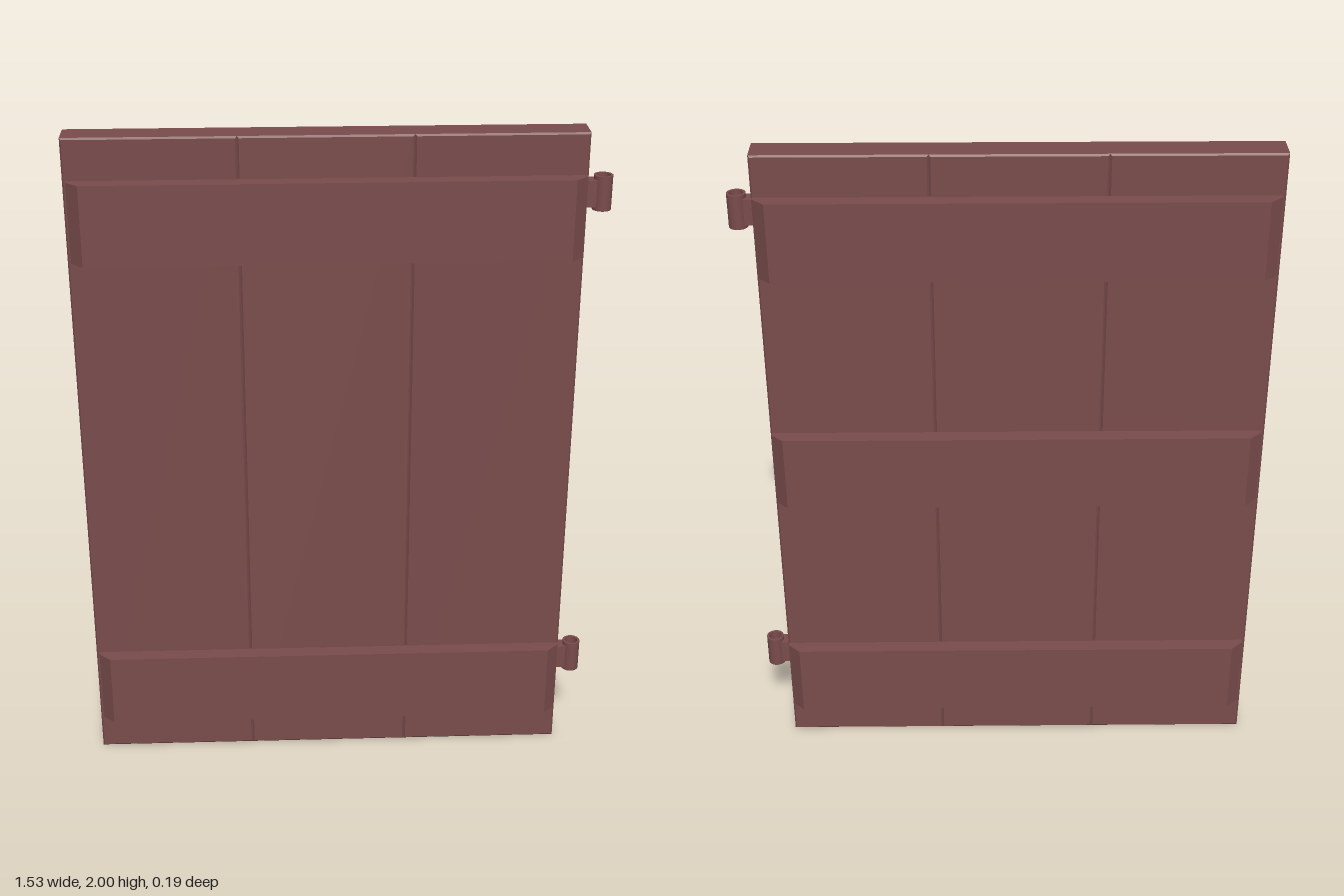
import * as THREE from 'three';

const wood = new THREE.MeshStandardMaterial({ color: 0x7a4c4c, flatShading: true });
const metal = new THREE.MeshStandardMaterial({ color: 0x7a4c4c });

function polygon(points) {
  return new THREE.Shape(points.map(([x, y]) => new THREE.Vector2(x, y)));
}

function add(parent, name, geometry, material = wood) {
  const mesh = new THREE.Mesh(geometry, material);
  mesh.name = name;
  parent.add(mesh);
  return mesh;
}

// Upright board with a fine chamfer around both faces
function plank(x0, x1) {
  const b = 0.005, depth = 0.096;
  const shape = polygon([[x0 + b, b], [x1 - b, b], [x1 - b, 2 - b], [x0 + b, 2 - b]]);
  return new THREE.ExtrudeGeometry(shape, {
    depth: depth - 2 * b, bevelEnabled: true, bevelSegments: 1, bevelSize: b, bevelThickness: b,
  }).translate(0, 0, -depth / 2 + b);
}

// Horizontal crosspiece with slanted ends, outline in plan (x, depth), lifted upwards
function batten(side) {
  const x0 = -0.755, x1 = 0.685, c = 0.036;
  const outline = [[x0, 0.046], [x1, 0.046], [x1, 0.06], [x1 - c, 0.094], [x0 + c, 0.094], [x0, 0.06]];
  const shape = polygon(outline.map(([x, z]) => [x, -side * z]));
  return new THREE.ExtrudeGeometry(shape, { depth: 0.235, bevelEnabled: false }).rotateX(-Math.PI / 2);
}

// Hollow hinge barrel
function barrel() {
  const ro = 0.027, ri = 0.02, h = 0.05;
  // Separate profile segments keep the rims sharp
  const corners = [[ri, -h], [ro, -h], [ro, h], [ri, h], [ri, -h]].map(([x, y]) => new THREE.Vector2(x, y));
  const group = new THREE.Group();
  group.name = 'hingeBarrel';
  ['barrelBottom', 'barrelOuter', 'barrelTop', 'barrelInner'].forEach((name, i) =>
    add(group, name, new THREE.LatheGeometry([corners[i], corners[i + 1]], 20), metal));
  return group;
}

export function createModel() {
  const model = new THREE.Group();
  model.name = 'shutter';

  // Three boards side by side
  const joints = [-0.765, -0.283, 0.204, 0.688];
  for (let i = 0; i < 3; i++) add(model, `plank${i + 1}`, plank(joints[i], joints[i + 1]));

  // Two crosspieces on the front, three on the back
  [0.12, 1.645].forEach((y) => { add(model, 'frontBatten', batten(1)).position.y = y; });
  [0.12, 0.9, 1.645].forEach((y) => { add(model, 'backBatten', batten(-1)).position.y = y; });

  // Hinges on the left edge
  for (const y of [0.29, 1.82]) {
    const hinge = new THREE.Group();
    hinge.name = 'hinge';
    hinge.position.set(0.736, y, 0.011);
    add(hinge, 'hingeTab', new THREE.BoxGeometry(0.034, 0.076, 0.044)).position.x = -0.037;
    hinge.add(barrel());
    model.add(hinge);
  }
  return model;
}
